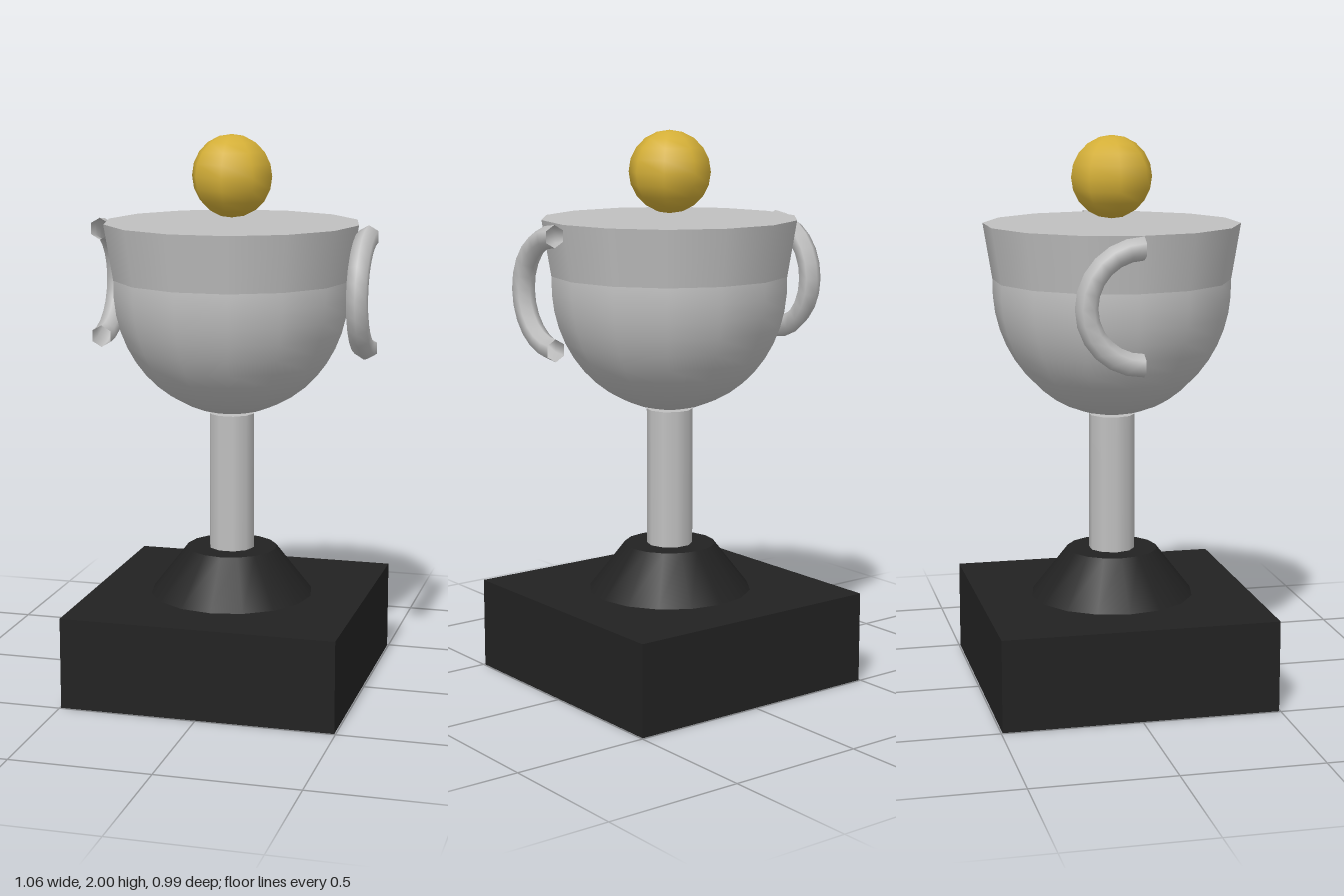
import * as THREE from 'three';

export function createModel() {
  const silver = new THREE.MeshStandardMaterial({ color: 0xc0c0c0, side: THREE.DoubleSide });
  silver.name = 'silver';
  const gold = new THREE.MeshStandardMaterial({ color: 0xd4af37 });
  gold.name = 'gold';
  const black = new THREE.MeshStandardMaterial({ color: 0x222222 });
  black.name = 'black';

  const model = new THREE.Group();
  model.name = 'trophy';
  const add = (name, geometry, material, y, x = 0) => {
    const mesh = new THREE.Mesh(geometry, material);
    mesh.name = name;
    mesh.position.set(x, y, 0);
    model.add(mesh);
    return mesh;
  };
  // Cylinder between two heights, turned so that a corner points along x
  const column = (name, rTop, rBottom, y0, y1, sides, material) =>
    add(name, new THREE.CylinderGeometry(rTop, rBottom, y1 - y0, sides).rotateY(Math.PI / 2), material, (y0 + y1) / 2);

  // Square plinth and sloped foot
  add('plinth', new THREE.BoxGeometry(0.99, 0.33, 0.99), black, 0.165);
  column('foot', 0.165, 0.297, 0.33, 0.5, 16, black);

  // Stem
  column('stem', 0.083, 0.083, 0.5, 1.0, 10, silver);

  // Rounded bowl with a flared, closed rim band
  const bowl = new THREE.SphereGeometry(0.427, 14, 12, 0, Math.PI * 2, Math.PI / 2 - 0.07, Math.PI / 2 + 0.07);
  bowl.scale(1, 0.46 / 0.427, 1);
  add('bowl', bowl, silver, 1.46);
  column('rimBand', 0.46, 0.427, 1.49, 1.69, 14, silver);

  // Half-ring handles, one curving forward and one curving back
  const handle = new THREE.TorusGeometry(0.197, 0.04, 6, 12, Math.PI).rotateZ(-Math.PI / 2).rotateY(-Math.PI / 2);
  add('leftHandle', handle, silver, 1.455, 0.495);
  add('rightHandle', handle, silver, 1.455, -0.495).rotation.y = Math.PI;

  // Floating ball
  add('ball', new THREE.SphereGeometry(0.147, 8, 10), gold, 1.853);

  return model;
}
